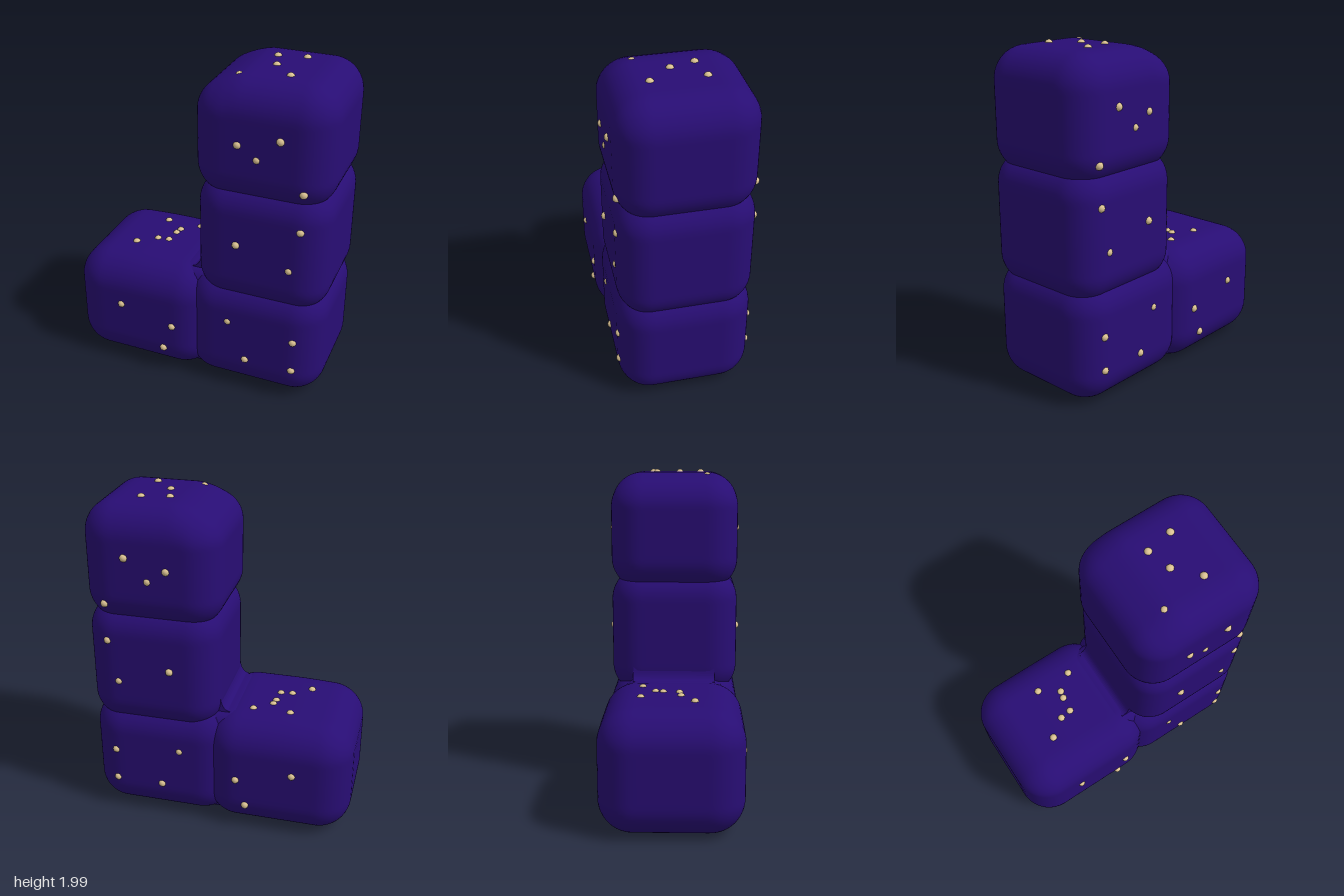
import * as THREE from 'three';
import { mergeVertices } from 'three/addons/utils/BufferGeometryUtils.js';

const skin = new THREE.MeshStandardMaterial({ color: 0x280d74 });
skin.name = 'deep indigo';
const sand = new THREE.MeshStandardMaterial({ color: 0xdcc393 });
sand.name = 'pale sand';

// Soft block between two corners; sculpt(point) may bend the surface afterwards
function softBlock(name, min, max, radius, sculpt) {
  const lo = new THREE.Vector3(...min), hi = new THREE.Vector3(...max);
  const size = hi.clone().sub(lo), centre = lo.clone().add(hi).multiplyScalar(0.5);
  let geo = new THREE.BoxGeometry(size.x, size.y, size.z, 28, 28, 28);
  geo.deleteAttribute('uv');
  geo.deleteAttribute('normal');
  geo = mergeVertices(geo);
  const half = size.clone().multiplyScalar(0.5).subScalar(radius);
  const p = new THREE.Vector3(), inner = new THREE.Vector3();
  const pos = geo.attributes.position;
  for (let i = 0; i < pos.count; i++) {
    p.fromBufferAttribute(pos, i);
    inner.copy(p).clamp(half.clone().negate(), half);
    p.sub(inner).setLength(radius).add(inner).add(centre);
    if (sculpt) sculpt(p);
    pos.setXYZ(i, p.x, p.y, p.z);
  }
  geo.computeVertexNormals();
  const mesh = new THREE.Mesh(geo, skin);
  mesh.name = name;
  return mesh;
}

export function createModel() {
  const model = new THREE.Group();
  model.name = 'cornerBlock';
  const smooth = THREE.MathUtils.smoothstep;

  // Four swollen cells; neighbours overlap to leave shallow creases
  model.add(
    softBlock('topCell', [-0.01, 1.27, -0.388], [0.8, 1.98, 0.388], 0.19, (p) => {
      p.y -= 0.035 * (1 - smooth(p.x, 0.1, 0.27)) * smooth(p.y, 1.6, 1.95);
    }),
    softBlock('middleCell', [0.005, 0.61, -0.387], [0.8, 1.39, 0.387], 0.18),
    softBlock('cornerCell', [-0.06, 0.008, -0.392], [0.8, 0.745, 0.392], 0.19),
    softBlock('footCell', [-0.8, 0.008, -0.415], [0.09, 0.73, 0.415], 0.2, (p) => {
      p.y -= 0.015 * (1 - smooth(p.x, -0.8, -0.35)) * smooth(p.y, 0.4, 0.7);
    }),
    // Filling that keeps the crease shallow above and below
    softBlock('creaseFilling', [-0.16, 0.016, -0.31], [0.26, 0.728, 0.31], 0.1)
  );

  // Concave fillet between the foot and the tower
  const fillet = new THREE.Shape();
  fillet.moveTo(-0.045, 0.725);
  fillet.quadraticCurveTo(0.008, 0.73, 0.012, 0.83);
  fillet.lineTo(0.05, 0.83);
  fillet.lineTo(0.05, 0.7);
  fillet.lineTo(-0.045, 0.7);
  const filletMesh = new THREE.Mesh(
    new THREE.ExtrudeGeometry(fillet, { depth: 0.5, bevelEnabled: false, curveSegments: 10 }).translate(0, 0, -0.25), skin);
  filletMesh.name = 'fillet';
  model.add(filletMesh);

  // Small beads half sunk in the skin
  const bead = new THREE.SphereGeometry(0.023, 14, 10);
  const beads = new THREE.Group();
  beads.name = 'beads';
  const addBead = (x, y, z) => {
    const mesh = new THREE.Mesh(bead, sand);
    mesh.name = 'bead';
    mesh.position.set(x, y, z);
    beads.add(mesh);
  };

  // Beads on the front, mirrored on the back: x, y, depth
  [
    [0.28, 1.64, 0.38], [0.52, 1.7, 0.383], [0.39, 1.57, 0.376], [0.655, 1.41, 0.372],
    [0.65, 1.18, 0.376], [0.28, 1.02, 0.384], [0.595, 0.92, 0.376],
    [0.235, 0.48, 0.38], [0.64, 0.435, 0.382], [0.64, 0.23, 0.382], [0.35, 0.23, 0.386],
    [-0.46, 0.435, 0.408], [-0.12, 0.355, 0.41], [-0.18, 0.18, 0.41]
  ].forEach(([x, y, z]) => { addBead(x, y, z); addBead(x, y, -z); });

  // Beads on top of the tower: x, z
  [[0.33, -0.11], [0.49, -0.14], [0.37, 0.03], [0.49, 0.16]]
    .forEach(([x, z]) => addBead(x, 1.973, z));
  addBead(0.22, 1.957, 0.2);

  // Beads on top of the foot: x, z
  [[-0.4, -0.18], [-0.175, -0.18], [-0.28, -0.1], [-0.29, -0.055], [-0.3, 0.04], [-0.37, 0.05], [-0.48, 0.13]]
    .forEach(([x, z]) => addBead(x, 0.722, z));

  model.add(beads);
  return model;
}
